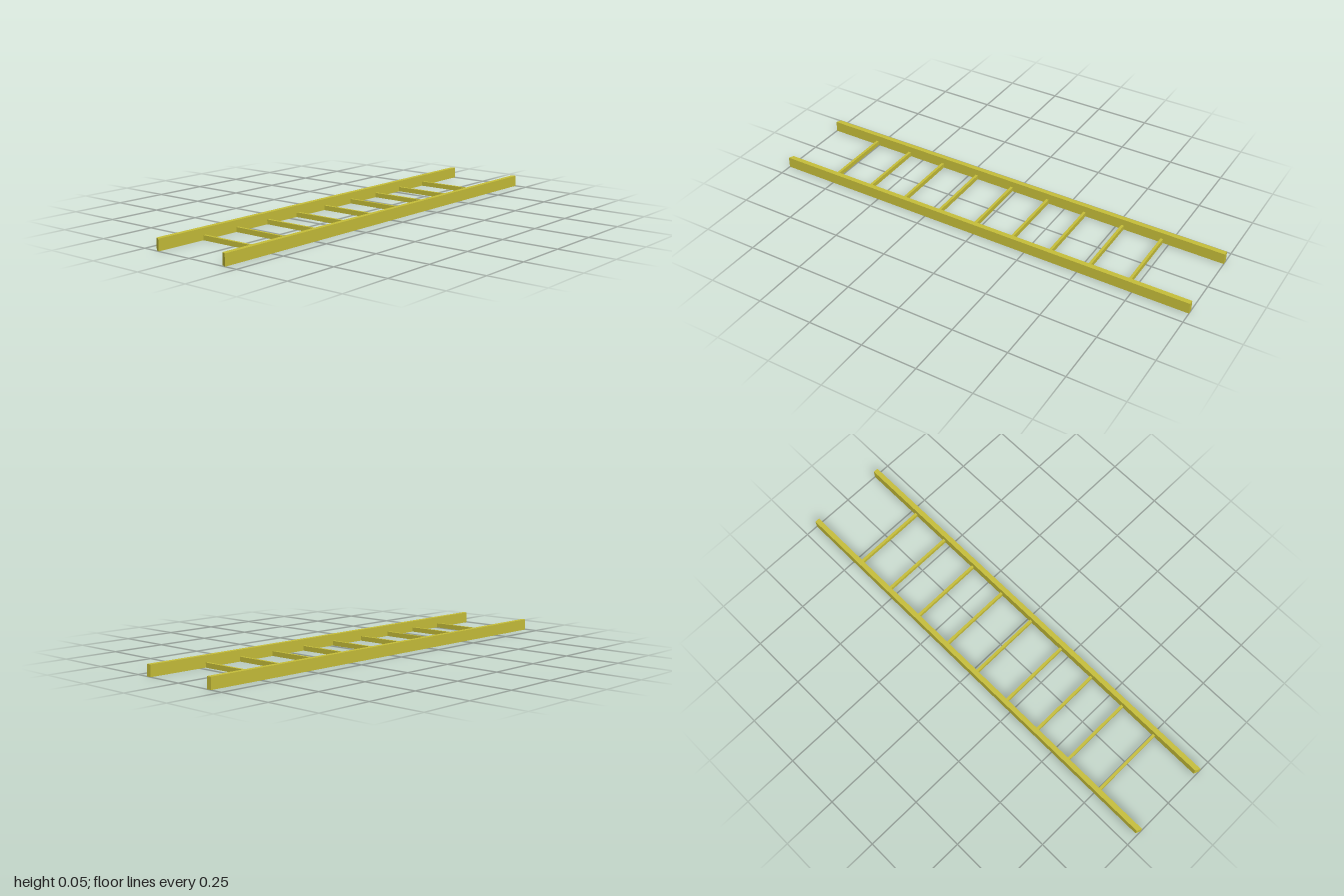
import * as THREE from 'three';

const LENGTH = 2, RAIL_HEIGHT = 0.05, RAIL_WIDTH = 0.022, RAIL_Z = 0.1805;
const RUNG_COUNT = 9, RUNG_START = -0.758, RUNG_STEP = 0.1845;
const RUNG_HEIGHT = 0.021, RUNG_WIDTH = 0.012;

export function createModel() {
  const ladder = new THREE.Group();
  ladder.name = 'ladder';
  const material = new THREE.MeshStandardMaterial({ color: 0xc8c03a, flatShading: true });

  // Places a box part with its underside on the ground
  function addPart(name, geometry, height, x, z) {
    const mesh = new THREE.Mesh(geometry, material);
    mesh.name = name;
    mesh.position.set(x, height / 2, z);
    ladder.add(mesh);
  }

  // Side rail: a long bar whose -x end is cut at a slight slant
  const railGeometry = new THREE.BoxGeometry(LENGTH, RAIL_HEIGHT, RAIL_WIDTH);
  const corners = railGeometry.attributes.position;
  for (let i = 0; i < corners.count; i++) {
    if (corners.getX(i) < 0 && corners.getZ(i) < 0) corners.setX(i, -LENGTH / 2 + 0.01);
  }
  railGeometry.computeVertexNormals();
  addPart('frontRail', railGeometry, RAIL_HEIGHT, 0, RAIL_Z);
  addPart('backRail', railGeometry, RAIL_HEIGHT, 0, -RAIL_Z);

  // Rungs: evenly spaced bars between the inner faces of the rails
  const rungGeometry = new THREE.BoxGeometry(RUNG_WIDTH, RUNG_HEIGHT, 2 * RAIL_Z - RAIL_WIDTH);
  for (let i = 0; i < RUNG_COUNT; i++) {
    addPart(`rung${i + 1}`, rungGeometry, RUNG_HEIGHT, RUNG_START + i * RUNG_STEP, 0);
  }

  return ladder;
}
